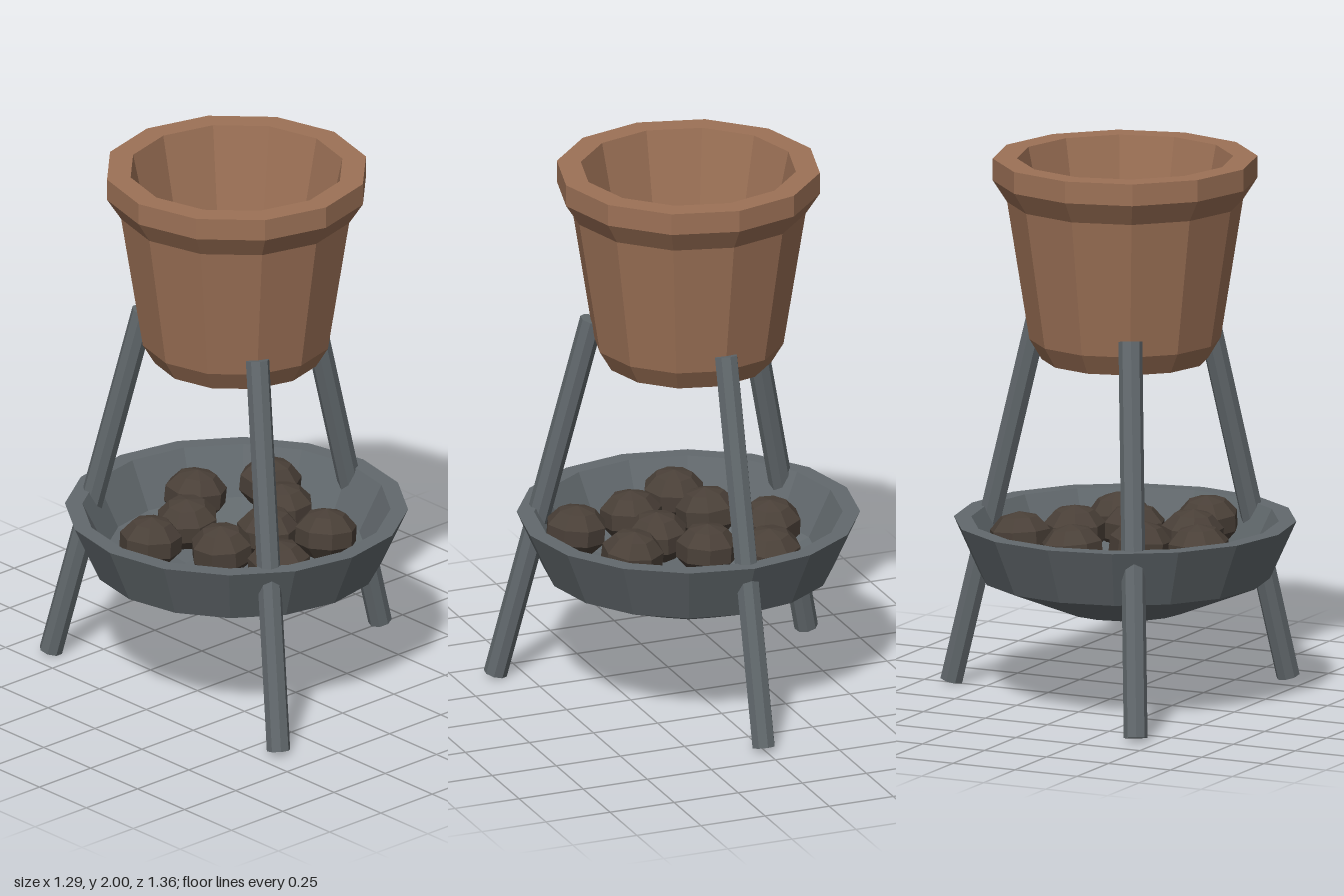
import * as THREE from 'three';

const clay = new THREE.MeshStandardMaterial({ color: 0x9c7156 });
clay.name = 'clay';
const iron = new THREE.MeshStandardMaterial({ color: 0x62696d });
iron.name = 'iron';
const charcoal = new THREE.MeshStandardMaterial({ color: 0x4a4038 });
charcoal.name = 'charcoal';

// Faceted mesh with hard edges
function faceted(name, geometry, material) {
  const flat = geometry.toNonIndexed();
  flat.computeVertexNormals();
  const mesh = new THREE.Mesh(flat, material);
  mesh.name = name;
  return mesh;
}

// Closed vessel: profile runs from the underside, over the rim, to the inner floor
function vessel(name, profile, sides, material) {
  const points = profile.map(([r, y]) => new THREE.Vector2(r, y));
  return faceted(name, new THREE.LatheGeometry(points, sides), material);
}

export function createModel() {
  const model = new THREE.Group();
  model.name = 'potOnBrazier';
  const stand = new THREE.Group();
  stand.name = 'stand';
  stand.position.z = 0.06;
  model.add(stand);

  // Clay pot with a thick flared rim
  stand.add(vessel('pot', [
    [0, 1.26], [0.3, 1.26], [0.345, 1.335], [0.425, 1.84], [0.477, 1.92], [0.477, 2],
    [0.39, 2], [0.253, 1.36], [0, 1.36],
  ], 12, clay));

  // Wide iron fire dish
  stand.add(vessel('fireDish', [
    [0, 0.34], [0.223, 0.34], [0.523, 0.46], [0.618, 0.67],
    [0.555, 0.67], [0.47, 0.5], [0.2, 0.41], [0, 0.41],
  ], 16, iron));

  // Three splayed legs, one at the back and two at the front
  const top = new THREE.Vector2(0.35, 1.395), foot = new THREE.Vector2(0.7, 0.012);
  for (let i = 0; i < 3; i++) {
    const leg = new THREE.Group();
    leg.name = 'leg' + (i + 1);
    const bar = faceted('legBar', new THREE.CylinderGeometry(0.043, 0.043, top.distanceTo(foot), 8), iron);
    bar.position.set(0, (top.y + foot.y) / 2, (top.x + foot.x) / 2);
    bar.rotation.x = -Math.atan2(foot.x - top.x, top.y - foot.y);
    leg.add(bar);
    leg.rotation.y = Math.PI + i * Math.PI * 2 / 3;
    stand.add(leg);
  }

  // Lumps of charcoal in the dish
  const spots = [
    [0.38, 0.14], [0.14, 0.2], [0.29, -0.17], [0.135, -0.03], [0.015, -0.21],
    [-0.18, -0.33], [-0.085, 0.34], [-0.125, 0.125], [-0.29, -0.065],
  ];
  const coals = new THREE.Group();
  coals.name = 'coals';
  spots.forEach(([x, z], i) => {
    const coal = faceted('coal', new THREE.SphereGeometry(0.118, 8, 5), charcoal);
    coal.scale.y = 0.8;
    coal.position.set(x, 0.605, z);
    coal.rotation.set(0.08 * Math.sin(i * 2.1), i * 1.3, 0.08 * Math.cos(i * 1.7));
    coals.add(coal);
  });
  stand.add(coals);

  return model;
}
